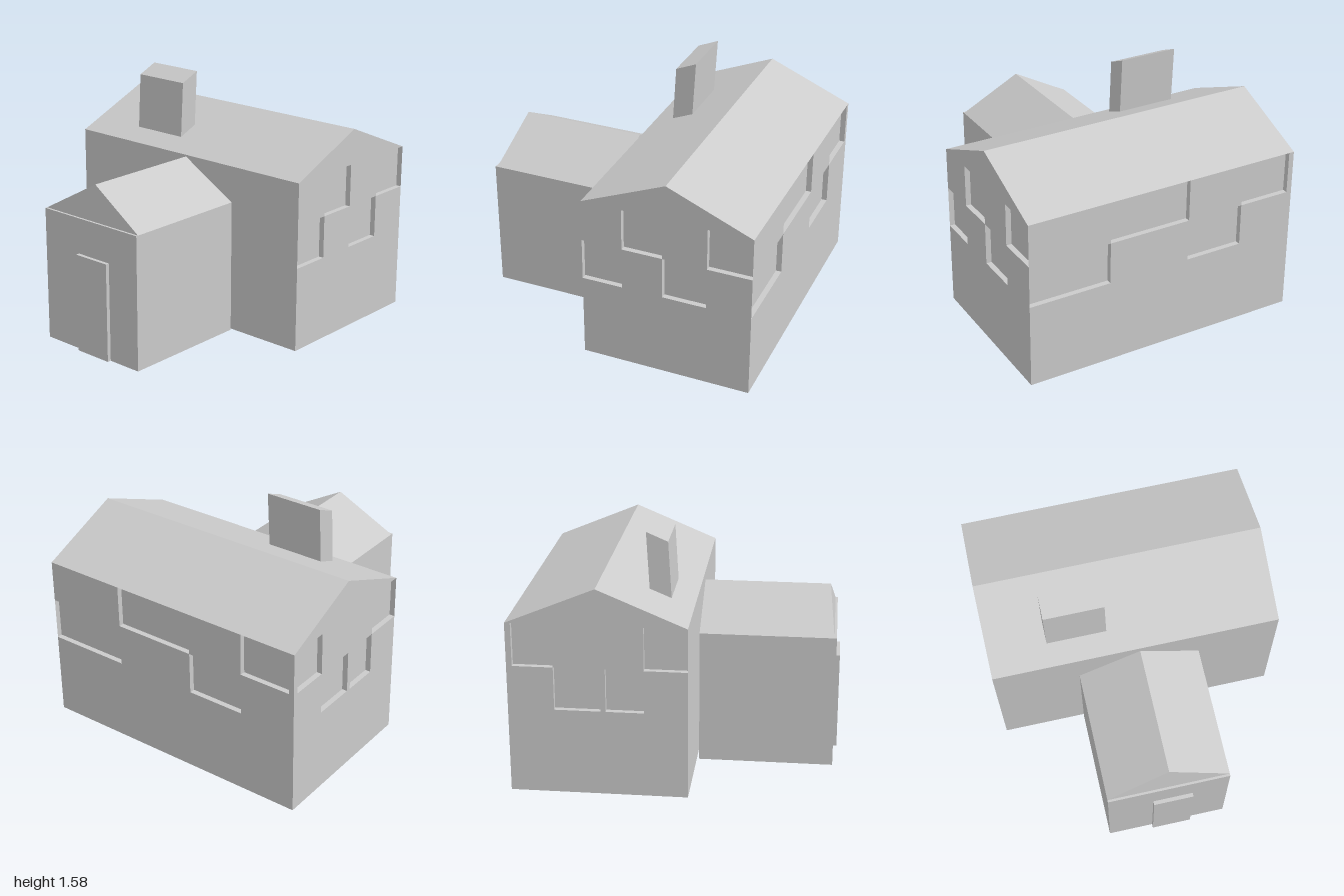
import * as THREE from 'three';

const grey = new THREE.MeshStandardMaterial({ color: 0xcccccc, flatShading: true });
const RECESS = 0.035;            // depth of the window recesses
const SILL = 0.55, MID = 0.825, EAVE = 1.10, RIDGE = 1.33;
const X0 = -0.1, X1 = 1, Z = 0.93; // main house footprint

function add(parent, name, geometry, x = 0, y = 0, z = 0) {
  const mesh = new THREE.Mesh(geometry, grey);
  mesh.name = name;
  mesh.position.set(x, y, z);
  parent.add(mesh);
  return mesh;
}

// Box given by its lower and upper corners
function block(parent, name, a, b) {
  const size = b.map((v, i) => v - a[i]);
  return add(parent, name, new THREE.BoxGeometry(...size), ...a.map((v, i) => (v + b[i]) / 2));
}

// Polygon in x, y pulled along z
function prism(points, depth) {
  const shape = new THREE.Shape(points.map(p => new THREE.Vector2(...p)));
  return new THREE.ExtrudeGeometry(shape, { depth, bevelEnabled: false });
}

// Flat panel facing local +z
function panel(parent, name, u0, u1, y0, y1) {
  if (u1 - u0 < 1e-4) return;
  add(parent, name, new THREE.PlaneGeometry(u1 - u0, y1 - y0), (u0 + u1) / 2, (y0 + y1) / 2, 0);
}

// Inside-out box with an open front, sunk behind the wall face
function recess(parent, u0, u1, y0, y1) {
  let g = new THREE.BoxGeometry(u1 - u0, y1 - y0, RECESS).scale(1, 1, -1);
  g.setIndex(Array.from(g.index.array).slice(0, 30));
  g = g.toNonIndexed();
  g.computeVertexNormals();
  add(parent, 'windowRecess', g, (u0 + u1) / 2, (y0 + y1) / 2, -RECESS / 2);
}

// Wall with two rows of cells; the lists give the sunk spans of each row
function wall(parent, name, position, turn, u0, u1, lower = [], upper = []) {
  const group = new THREE.Group();
  group.name = name;
  group.position.set(...position);
  group.rotation.y = turn;
  parent.add(group);
  panel(group, 'wallBase', u0, u1, 0, SILL);
  for (const [spans, y0, y1] of [[lower, SILL, MID], [upper, MID, EAVE]]) {
    let u = u0;
    for (const [a, b] of spans) {
      panel(group, 'wallPanel', u, a, y0, y1);
      recess(group, a, b, y0, y1);
      u = b;
    }
    panel(group, 'wallPanel', u, u1, y0, y1);
  }
}

export function createModel() {
  const model = new THREE.Group();
  model.name = 'house';

  // Main house walls with staggered window recesses
  const house = new THREE.Group();
  house.name = 'mainHouse';
  model.add(house);
  wall(house, 'frontWall', [0, 0, Z], 0, X0, X1,
    [[-0.1, 0.165], [0.43, 0.715]], [[0.165, 0.43], [0.715, 1]]);
  wall(house, 'rightSideWall', [X1, 0, 0], Math.PI / 2, -Z, Z,
    [[-0.93, -0.385], [0.165, 0.55]], [[-0.385, 0.165], [0.55, 0.895]]);
  wall(house, 'backWall', [0, 0, -Z], Math.PI, -X1, -X0,
    [[-0.715, -0.43], [-0.4, -0.165]], [[-0.965, -0.715], [-0.165, 0.1]]);
  wall(house, 'plainSideWall', [X0, 0, 0], -Math.PI / 2, -Z, Z);
  const floor = add(house, 'floor', new THREE.PlaneGeometry(X1 - X0, 2 * Z), (X0 + X1) / 2, 0, 0);
  floor.rotation.x = Math.PI / 2;

  // Gabled roof
  add(house, 'roof', prism([[X0, EAVE], [X1, EAVE], [0.45, RIDGE]], 2 * Z), 0, 0, -Z);

  // Leaning chimney with a sloped top
  add(house, 'chimney',
    prism([[0.04, 1.156], [0.175, 1.213], [0.195, 1.575], [0.06, 1.517]], 0.385), 0, 0, -0.55);

  // Side annex
  const annex = new THREE.Group();
  annex.name = 'annex';
  model.add(annex);
  block(annex, 'annexWalls', [-0.975, 0, -0.38], [-0.115, 0.87, 0.41]);
  block(annex, 'annexDoor', [-1, 0, -0.085], [-0.975, 0.64, 0.175]);

  // Annex roof: a prism along x whose outer ridge end is pulled in
  const roof = prism([[-0.41, 0.87], [0.38, 0.87], [-0.01, 1.095]], 0.845);
  roof.rotateY(-Math.PI / 2).translate(-0.115, 0, 0);
  const p = roof.attributes.position;
  for (let i = 0; i < p.count; i++) {
    // turned so that the shape's x runs along z
    p.setZ(i, p.getZ(i) + 0.03);
    if (p.getX(i) < -0.9 && p.getY(i) > 1) p.setX(i, -0.925);
  }
  roof.computeVertexNormals();
  add(annex, 'annexRoof', roof);
  return model;
}
